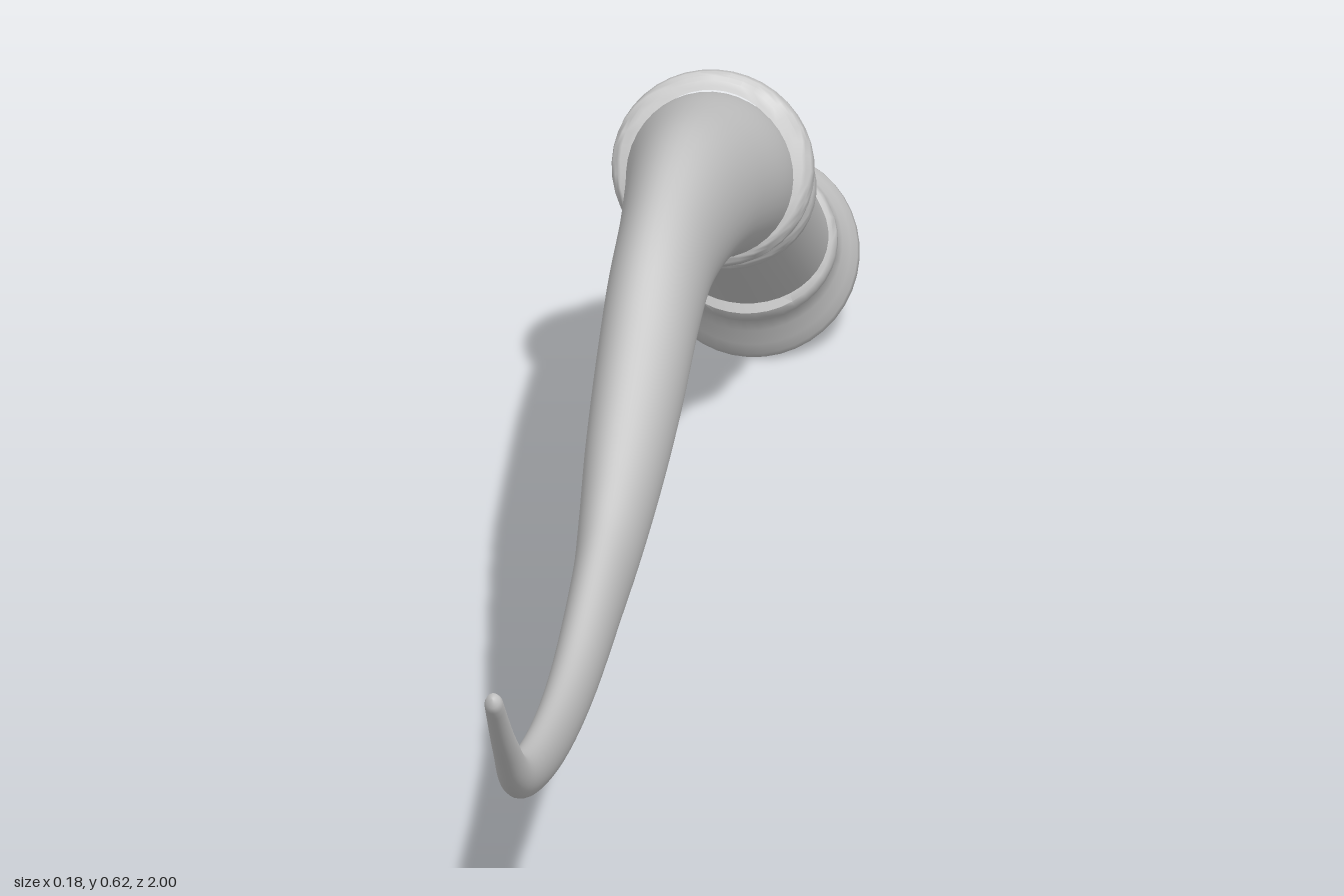
import * as THREE from 'three';
import { toCreasedNormals } from 'three/addons/utils/BufferGeometryUtils.js';

const SIDES = 40;
const material = new THREE.MeshStandardMaterial({ color: 0xcccccc });

// Loft of elliptical rings; each row is [z, y, tilt in degrees, half height, half width]
function loft(rows) {
  const pos = [], index = [];
  rows.forEach(([z, y, tilt, tall, wide], i) => {
    const a = THREE.MathUtils.degToRad(tilt);
    const lean = 0.006 * Math.max(0, z);
    for (let j = 0; j < SIDES; j++) {
      const p = (j / SIDES) * Math.PI * 2;
      const up = tall * Math.sin(p);
      pos.push(lean + wide * Math.cos(p), y + up * Math.cos(a), z - up * Math.sin(a));
      if (i === rows.length - 1) continue;
      const k = (j + 1) % SIDES, r = i * SIDES, s = r + SIDES;
      index.push(r + j, r + k, s + j, r + k, s + k, s + j);
    }
  });
  const g = new THREE.BufferGeometry();
  g.setAttribute('position', new THREE.Float32BufferAttribute(pos, 3));
  g.setIndex(index);
  g.computeVertexNormals();
  return g;
}

// Smooth interpolation of rows, column by column
function refine(rows, steps) {
  const out = [];
  for (let i = 0; i < rows.length - 1; i++) {
    const p = rows[Math.max(0, i - 1)], q = rows[i], r = rows[i + 1];
    const s = rows[Math.min(rows.length - 1, i + 2)];
    for (let n = 0; n < steps; n++) {
      const t = n / steps;
      const blend = (v, c) => {
        const slope = r[c] - p[c];
        const bend = 2 * p[c] - 5 * v + 4 * r[c] - s[c];
        const twist = 3 * v - p[c] - 3 * r[c] + s[c];
        return v + 0.5 * t * (slope + t * (bend + t * twist));
      };
      out.push(q.map(blend));
    }
  }
  out.push(rows[rows.length - 1]);
  return out;
}

// Rows measured by distance along the straight grip axis: [distance, half height, half width, extra tilt]
const along = (list) => list.map(([d, tall, wide, bend = 0]) =>
  [-0.945 + d * 0.79, 0.073 + d * 0.613, 37.5 - bend, tall, wide]);

export function createModel() {
  const group = new THREE.Group();
  const add = (name, geometry) => {
    const mesh = new THREE.Mesh(geometry, material);
    mesh.name = name;
    group.add(mesh);
  };

  // Curved, tapering shaft, flattened sideways, with a rounded tip
  const shaft = refine([
    [-0.66, 0.285, 34, 0.066, 0.072],
    [-0.6, 0.325, 28, 0.072, 0.071],
    [-0.5, 0.365, 20, 0.071, 0.06],
    [-0.4, 0.392, 12, 0.0725, 0.05],
    [-0.3, 0.404, 2, 0.0715, 0.043],
    [-0.2, 0.398, -8, 0.072, 0.041],
    [-0.1, 0.373, -14, 0.066, 0.039],
    [0, 0.35, -13, 0.059, 0.035],
    [0.1, 0.333, -7, 0.051, 0.029],
    [0.2, 0.327, -2, 0.0445, 0.024],
    [0.4, 0.338, 7, 0.034, 0.02],
    [0.6, 0.38, 17, 0.028, 0.017],
    [0.8, 0.453, 28, 0.02, 0.015],
    [0.9, 0.53, 40, 0.014, 0.011],
    [0.988, 0.617, 44, 0.009, 0.008],
  ], 6);
  shaft.push([0.994, 0.623, 44, 0.007, 0.006], [0.997, 0.626, 44, 0, 0]);
  add('shaft', loft(shaft));

  // Straight oval grip
  add('grip', loft(along([[0.05, 0.06, 0.07], [0.1, 0.06, 0.071], [0.2, 0.062, 0.07], [0.33, 0.064, 0.07]])));

  // Flared pommel with a slightly domed end and a neck ring
  add('pommel', toCreasedNormals(loft(along([
    [-0.008, 0, 0], [-0.007, 0.04, 0.04], [-0.004, 0.075, 0.074], [0.002, 0.087, 0.086],
    [0.009, 0.091, 0.09], [0.018, 0.09, 0.089], [0.03, 0.084, 0.084], [0.05, 0.076, 0.079],
    [0.064, 0.07, 0.075], [0.07, 0.071, 0.077], [0.08, 0.071, 0.077], [0.088, 0.068, 0.074], [0.093, 0.058, 0.068],
  ])), 0.7));

  // Collar with a low band at the grip and a raised lip at the shaft
  const collar = along([
    [0.288, 0.058, 0.066], [0.292, 0.068, 0.077], [0.305, 0.072, 0.081, 1], [0.322, 0.073, 0.081, 2],
    [0.333, 0.07, 0.078, 4], [0.35, 0.071, 0.078, 7], [0.37, 0.075, 0.08, 10],
    [0.382, 0.082, 0.085, 13], [0.394, 0.085, 0.088, 15], [0.406, 0.083, 0.086, 17],
    [0.413, 0.077, 0.079, 18], [0.416, 0.064, 0.064, 18],
  ]);
  add('collar', toCreasedNormals(loft(refine(collar, 3)), 0.8));

  return group;
}
